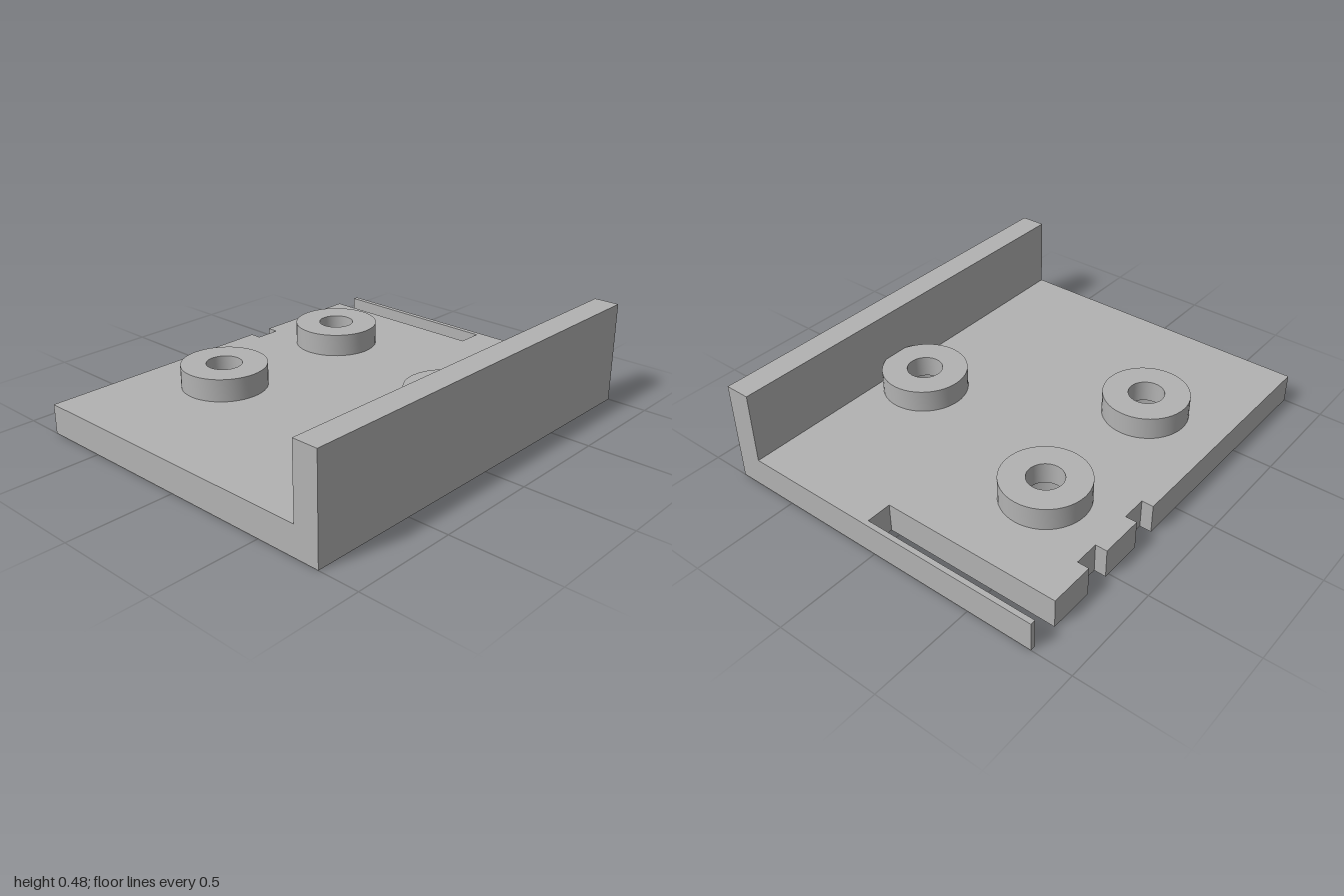
import * as THREE from 'three';
import { toCreasedNormals } from 'three/addons/utils/BufferGeometryUtils.js';

const PLATE = 0.14, BACK = -0.81, FRONT = 0.81;
const BOSSES = [[-0.335, -0.425], [0.415, -0.425], [0.14, 0.5]];
const BORE = 0.083, COUNTERBORE = 0.146, BOSS_RADIUS = 0.2;

export function createModel() {
  const model = new THREE.Group();
  const grey = new THREE.MeshStandardMaterial({ color: 0xb2b2b2 });
  grey.name = 'grey';

  const add = (name, geometry, x = 0, y = 0, z = 0) => {
    const mesh = new THREE.Mesh(geometry, grey);
    mesh.name = name;
    mesh.position.set(x, y, z);
    model.add(mesh);
  };

  // Base plate outline (x, z), with two back notches and a long side slot
  const outline = new THREE.Shape([
    [-1, FRONT], [-1, BACK],
    [0.19, BACK], [0.19, -0.755], [0.31, -0.755], [0.31, BACK],
    [0.52, BACK], [0.52, -0.755], [0.64, -0.755], [0.64, BACK],
    [0.855, BACK], [0.855, 0.045], [0.975, 0.045], [0.975, BACK],
    [1, BACK], [1, FRONT],
  ].map(([x, z]) => new THREE.Vector2(x, z)));

  // Wide recesses under each boss
  for (const [x, z] of BOSSES) {
    outline.holes.push(new THREE.Path().absarc(x, z, COUNTERBORE, 0, Math.PI * 2));
  }
  const plate = new THREE.ExtrudeGeometry(outline, { depth: PLATE, bevelEnabled: false, curveSegments: 48 });
  plate.rotateX(Math.PI / 2);
  add('basePlate', toCreasedNormals(plate, 0.5), 0, PLATE, 0);

  // Upright front wall
  add('frontWall', new THREE.BoxGeometry(2, 0.34, 0.12), 0, PLATE + 0.17, FRONT - 0.06);

  // Round bosses with a narrow bore above the recess
  const profile = [
    [BOSS_RADIUS, PLATE], [BOSS_RADIUS, 0.247], [BORE, 0.247],
    [BORE, 0.145], [COUNTERBORE, 0.145], [COUNTERBORE, PLATE],
  ].map(([r, y]) => new THREE.Vector2(r, y));
  const boss = toCreasedNormals(new THREE.LatheGeometry(profile, 48), 0.5);
  for (const [x, z] of BOSSES) add('boss', boss, x, 0, z);

  return model;
}
